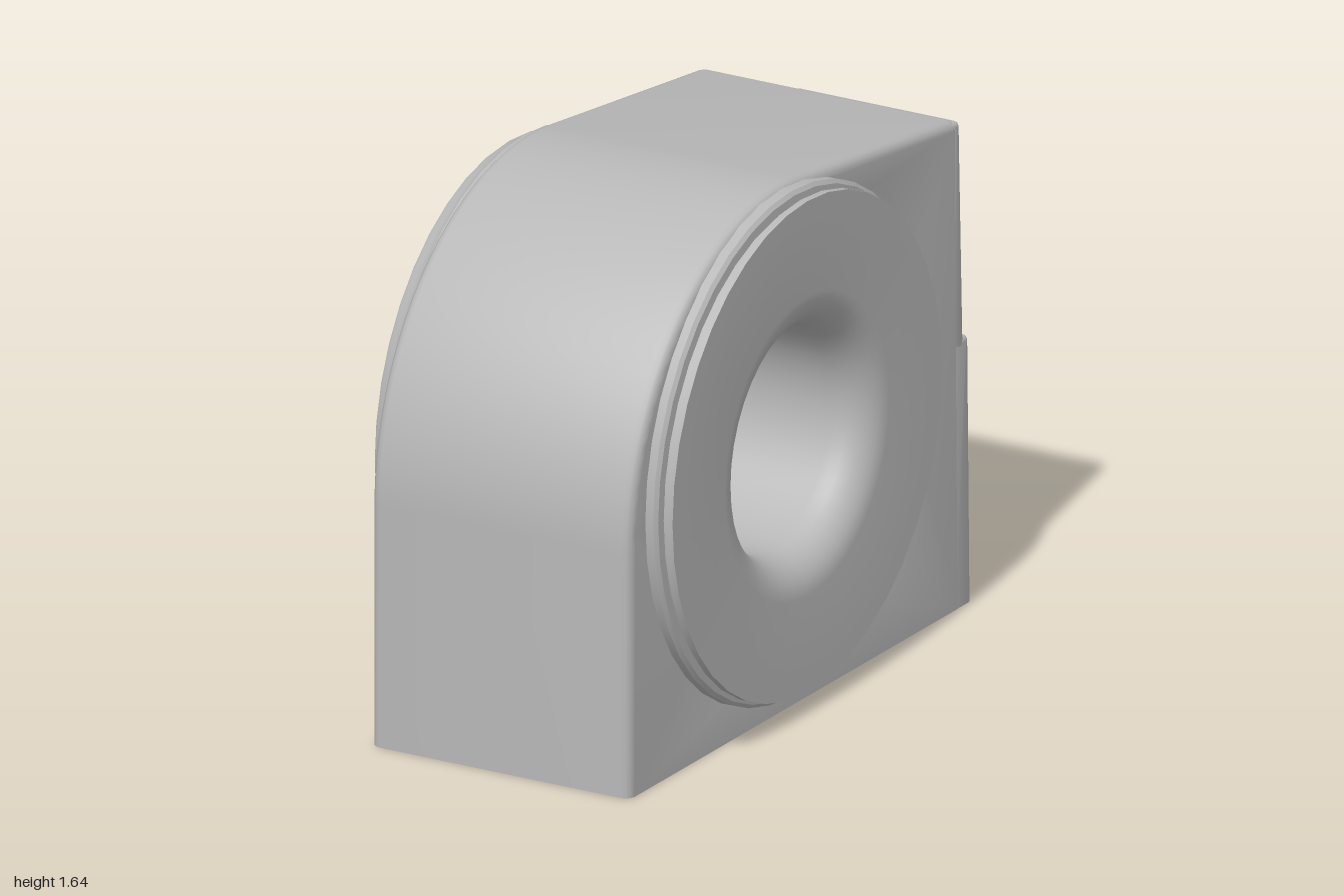
import * as THREE from 'three';
import { toCreasedNormals } from 'three/addons/utils/BufferGeometryUtils.js';

const AXIS_Z = 0.085, AXIS_Y = 0.84; // centre of the bore

export function createModel() {
  const model = new THREE.Group();
  model.name = 'bearingBlock';
  const steel = new THREE.MeshStandardMaterial({ color: 0xb8b8b8 });
  steel.name = 'grey steel';

  const add = (name, geometry) => {
    const mesh = new THREE.Mesh(toCreasedNormals(geometry, 0.6), steel);
    mesh.name = name;
    model.add(mesh);
  };

  // Extrudes a side outline (shape x = -z) across the width, rounding its side edges
  const acrossWidth = (shape, x0, x1, bevel) => {
    const g = new THREE.ExtrudeGeometry(shape, {
      depth: x1 - x0 - 2 * bevel, curveSegments: 24, bevelEnabled: true,
      bevelSize: bevel, bevelThickness: bevel, bevelOffset: -bevel, bevelSegments: 3,
    });
    g.translate(0, 0, x0 + bevel).rotateY(Math.PI / 2);
    // keep the underside flat on the ground
    const p = g.attributes.position;
    for (let i = 0; i < p.count; i++) p.setY(i, Math.max(0, p.getY(i)));
    return g;
  };

  // Main body: flat base, round front and top, gently sloping rear roof
  const body = new THREE.Shape();
  body.moveTo(0.935, -0.06);
  body.lineTo(0.918, 1.5);
  body.quadraticCurveTo(0.917, 1.527, 0.885, 1.531);
  body.absarc(-0.08, 0.755, 0.885, Math.PI / 2 - 0.11, Math.PI, false);
  body.lineTo(-0.965, -0.06);
  const opening = new THREE.Path();
  opening.absarc(-AXIS_Z, AXIS_Y, 0.6, 0, Math.PI * 2, true);
  body.holes.push(opening);
  add('body', acrossWidth(body, -0.45, 0.435, 0.03));

  // Rear plates: name, x range, bottom and top height, back depth at each
  const seam = -0.13;
  const plates = [
    ['lowerRearPlateRight', -0.449, seam, -0.06, 0.83, 0.967, 0.957],
    ['lowerRearPlateLeft', seam, 0.434, -0.06, 0.84, 0.99, 0.977],
    ['upperRearPlateLeft', seam, 0.434, 0.8, 1.523, 0.95, 0.928],
  ];
  for (const [name, x0, x1, y0, y1, back0, back1] of plates) {
    const s = new THREE.Shape();
    s.moveTo(0.88, y0);
    s.lineTo(back0, y0);
    s.lineTo(back1, y1 - 0.02);
    s.quadraticCurveTo(back1, y1, back1 - 0.02, y1);
    s.lineTo(0.88, y1);
    add(name, acrossWidth(s, x0, x1, 0.018));
  }

  // Hub: raised round faces with flared mouths and a through bore
  const profile = [];
  const flare = (side, face, reverse) => {
    const pts = [];
    for (let i = 0; i <= 8; i++) {
      const a = (i / 8) * Math.PI / 2;
      pts.push([0.47 - 0.125 * Math.cos(a), side * (face - 0.13 * (1 - Math.sin(a)))]);
    }
    profile.push(...(reverse ? pts.reverse() : pts));
  };
  flare(-1, 0.51, false);
  profile.push([0.757, -0.51], [0.765, -0.5], [0.768, -0.485], [0.79, -0.455], [0.79, -0.42]);
  profile.push([0.79, 0.462], [0.778, 0.472], [0.75, 0.474], [0.75, 0.488], [0.768, 0.492], [0.768, 0.515]);
  flare(1, 0.515, true);
  profile.push(profile[0]);
  const hub = new THREE.LatheGeometry(profile.map(([r, x]) => new THREE.Vector2(r, x)), 40);
  hub.rotateZ(-Math.PI / 2).translate(0, AXIS_Y, AXIS_Z);
  add('hub', hub);

  // The block sits slightly turned
  model.rotation.y = THREE.MathUtils.degToRad(-5);
  return model;
}
